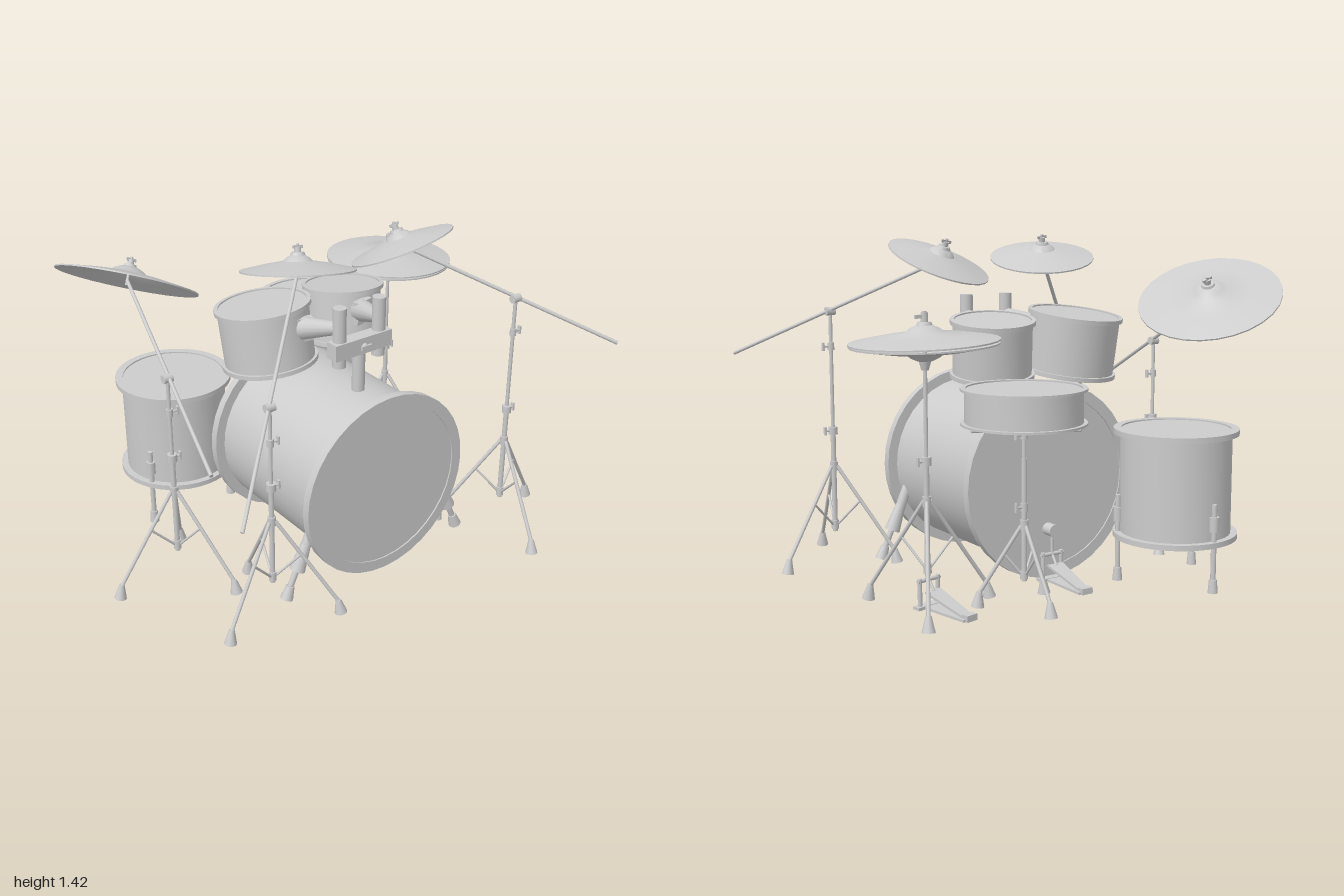
import * as THREE from 'three';
import { toCreasedNormals } from 'three/addons/utils/BufferGeometryUtils.js';

const V = (x, y, z) => new THREE.Vector3(x, y, z);
const UP = V(0, 1, 0);
const mat = new THREE.MeshStandardMaterial({ color: 0xcccccc });

function add(parent, name, geo, pos = V(0, 0, 0), dir = null) {
  const m = new THREE.Mesh(geo, mat);
  m.name = name;
  m.position.copy(pos);
  if (dir) m.quaternion.setFromUnitVectors(UP, dir.clone().normalize());
  parent.add(m);
  return m;
}

function group(parent, name) {
  const g = new THREE.Group();
  g.name = name;
  parent.add(g);
  return g;
}

// Round bar from a to b
function rod(parent, name, a, b, r, rEnd = r, seg = 10) {
  const d = b.clone().sub(a);
  return add(parent, name, new THREE.CylinderGeometry(rEnd, r, d.length(), seg), a.clone().lerp(b, 0.5), d);
}

function box(parent, name, w, h, d, x, y, z) {
  return add(parent, name, new THREE.BoxGeometry(w, h, d), V(x, y, z));
}

function lathe(pts, seg) {
  const g = new THREE.LatheGeometry(pts.map(p => new THREE.Vector2(p[0], p[1])), seg);
  return toCreasedNormals(g, 0.6);
}

// Shell, two hoops and slightly recessed heads, centred on the origin along y
function drum(parent, name, center, axis, rShell, rHoop, height, hoop) {
  const h = height / 2, rIn = rShell - 0.005, s = 0.006;
  const half = [[rShell, h - hoop], [rHoop, h - hoop], [rHoop, h], [rIn, h], [rIn, h - s], [0, h - s]];
  const pts = [...half.map(([r, y]) => [r, -y]).reverse(), ...half];
  return add(parent, name, lathe(pts, 36), center, axis);
}

// Domed disc with a bell, edge plane at the origin
function cymbalGeometry(R) {
  const top = [[R, 0], [0.6 * R, 0.02], [0.25 * R, 0.034], [0.2 * R, 0.046], [0.11 * R, 0.058], [0, 0.06]];
  const under = top.map(([r, y]) => [r, y - 0.006]).reverse();
  return lathe([...under, ...top], 28);
}

function cymbal(parent, R, pos, n) {
  const g = group(parent, 'cymbal');
  g.position.copy(pos);
  g.quaternion.setFromUnitVectors(UP, n.clone().normalize());
  add(g, 'cymbalDisc', cymbalGeometry(R));
  rod(g, 'cymbalStem', V(0, -0.02, 0), V(0, 0.1, 0), 0.006);
  rod(g, 'feltWasher', V(0, 0.056, 0), V(0, 0.068, 0), 0.03, 0.025, 14);
  rod(g, 'nut', V(0, 0.068, 0), V(0, 0.088, 0), 0.014);
  box(g, 'wingNut', 0.045, 0.012, 0.008, 0, 0.088, 0);
}

// Post with three braced legs on rubber feet; angles in degrees in the xz plane
function tripod(parent, x, z, top, angles, R = 0.275, hub = 0.42) {
  const g = group(parent, 'tripodStand');
  g.position.set(x, 0, z);
  const k = hub / 0.42;
  rod(g, 'lowerPost', V(0, 0.13 * k, 0), V(0, Math.min(0.58, top), 0), 0.011);
  rod(g, 'upperPost', V(0, 0.5 * k, 0), V(0, top, 0), 0.008);
  rod(g, 'legHub', V(0, hub - 0.02, 0), V(0, hub + 0.02, 0), 0.017);
  rod(g, 'braceHub', V(0, 0.14 * k, 0), V(0, 0.18 * k, 0), 0.016);
  for (const a of angles) {
    const c = Math.cos(a * Math.PI / 180), s = Math.sin(a * Math.PI / 180);
    const at = (t, y) => V(c * R * t, y, s * R * t);
    rod(g, 'leg', at(0.05, hub), at(0.96, 0.055), 0.008);
    rod(g, 'legBrace', at(0.04, 0.16 * k), at(0.42, 0.27 * k), 0.005);
    rod(g, 'rubberFoot', at(1, 0), at(0.96, 0.06), 0.026, 0.011, 12);
  }
  return g;
}

// Collar and side wing screw on a post
function clamp(g, y, r = 0.02) {
  rod(g, 'collar', V(0, y - 0.016, 0), V(0, y + 0.016, 0), r, r, 12);
  rod(g, 'clampScrew', V(0, y, 0), V(0.035, y, 0), 0.005);
  box(g, 'clampWing', 0.008, 0.035, 0.016, 0.036, y, 0);
}

// Stand with a slanted boom carrying a cymbal
function boomStand(parent, x, z, top, angles, tail, head, normal, R) {
  const g = group(parent, 'boomCymbalStand');
  const t = tripod(g, x, z, top, angles);
  clamp(t, 0.575);
  clamp(t, top - 0.15, 0.014);
  rod(g, 'boomJoint', V(x - 0.02, top, z), V(x + 0.02, top, z), 0.018);
  rod(g, 'boomArm', tail, head, 0.008);
  cymbal(g, R, head, normal);
}

// Foot pedal with its toe at the local origin and heel towards -z
function pedal(parent, name, x, z, turn) {
  const g = group(parent, name);
  g.position.set(x, 0, z);
  g.rotation.y = turn;
  const s = new THREE.Shape();
  s.moveTo(-0.022, -0.25);
  s.lineTo(0.022, -0.25);
  s.lineTo(0.038, -0.04);
  s.lineTo(-0.038, -0.04);
  const board = add(g, 'footboard', new THREE.ExtrudeGeometry(s, { depth: 0.01, bevelEnabled: false }), V(0, 0.085, 0));
  board.rotation.x = Math.PI / 2 - 0.28;
  box(g, 'basePlate', 0.07, 0.01, 0.24, 0, 0.006, -0.13);
  box(g, 'heelBlock', 0.05, 0.025, 0.03, 0, 0.013, -0.245);
  box(g, 'frontFoot', 0.13, 0.012, 0.035, 0, 0.007, -0.015);
  for (const i of [-1, 1]) rod(g, 'pedalUpright', V(i * 0.045, 0, -0.015), V(i * 0.045, 0.12, -0.015), 0.009);
  rod(g, 'pedalAxle', V(-0.055, 0.11, -0.015), V(0.055, 0.11, -0.015), 0.008);
  rod(g, 'pullLink', V(0, 0.11, -0.015), V(0, 0.07, -0.045), 0.006);
  return g;
}

export function createModel() {
  const kit = new THREE.Group();
  kit.name = 'drumKit';

  // Bass drum with spurs and pedal
  const bass = group(kit, 'bassDrum');
  drum(bass, 'bassShell', V(0.03, 0.407, 0.115), V(0, 0, 1), 0.362, 0.405, 0.71, 0.036);
  for (const s of [-1, 1]) {
    const p = (o, y, z = 0.4) => V(0.03 + s * o, y, z);
    rod(bass, 'spurBracket', p(0.33, 0.31), p(0.375, 0.2), 0.022, 0.022, 12);
    rod(bass, 'spurSleeve', p(0.365, 0.23), p(0.41, 0.12), 0.022, 0.034, 12);
    rod(bass, 'spurRod', p(0.4, 0.15), p(0.455, 0.03), 0.013);
    rod(bass, 'spurFoot', p(0.465, 0), p(0.445, 0.055), 0.028, 0.018, 12);
  }
  const kick = pedal(kit, 'bassPedal', 0.05, -0.255, 0);
  rod(kick, 'beaterRod', V(0, 0.11, -0.015), V(0, 0.215, -0.012), 0.006);
  rod(kick, 'beater', V(0, 0.21, -0.035), V(0, 0.21, 0.018), 0.026, 0.026, 14);

  // Two tilted rack toms on a shared mount
  const mount = group(kit, 'tomMount');
  rod(mount, 'mountPost', V(0.03, 0.74, 0.265), V(0.03, 0.96, 0.265), 0.027, 0.027, 16);
  box(mount, 'mountBar', 0.285, 0.07, 0.06, 0.03, 0.977, 0.27);
  rod(mount, 'mountScrew', V(0.03, 0.975, 0.28), V(0.03, 0.975, 0.315), 0.014);
  box(mount, 'mountWing', 0.05, 0.02, 0.01, 0.03, 0.975, 0.315);
  const toms = [
    { s: -1, x: -0.188, y: 0.957, r: 0.19, hoop: 0.202, h: 0.26 },
    { s: 1, x: 0.213, y: 0.957, r: 0.163, hoop: 0.175, h: 0.24 },
  ];
  for (const t of toms) {
    drum(kit, 'rackTom', V(t.x, t.y, -0.075), V(t.s * 0.06, 1, -0.13), t.r, t.hoop, t.h, 0.018);
    const tx = 0.03 + t.s * 0.1;
    rod(mount, 'mountTube', V(tx, 0.9, 0.265), V(tx, 1.155, 0.265), 0.028, 0.028, 16);
    rod(mount, 'tomArm', V(tx, 1.065, 0.255), V(tx + t.s * 0.05, 1.02, 0.09), 0.026, 0.048, 14);
    box(mount, 'tomBracket', 0.09, 0.1, 0.03, tx + t.s * 0.055, 1.015, 0.09).rotation.y = t.s * 0.2;
  }

  // Floor tom on three legs
  const floor = group(kit, 'floorTom');
  floor.position.set(-0.378, 0, -0.54);
  drum(floor, 'floorTomShell', V(0, 0.412, 0), UP, 0.228, 0.256, 0.45, 0.022);
  for (const a of [30, 150, 270]) {
    const c = Math.cos(a * Math.PI / 180), s = Math.sin(a * Math.PI / 180);
    const at = (r, y) => V(c * r, y, s * r);
    rod(floor, 'floorTomLeg', at(0.236, 0.03), at(0.236, 0.36), 0.011);
    rod(floor, 'legBracket', at(0.236, 0.25), at(0.236, 0.31), 0.02);
    rod(floor, 'legFoot', at(0.236, 0), at(0.236, 0.055), 0.021, 0.016, 12);
  }

  // Snare on a small tripod with basket arms
  const snare = group(kit, 'snare');
  drum(snare, 'snareShell', V(0.335, 0.781, -0.487), UP, 0.226, 0.242, 0.14, 0.009);
  const stand = tripod(snare, 0.335, -0.487, 0.7, [30, 150, 270], 0.18, 0.32);
  clamp(stand, 0.39, 0.015);
  clamp(stand, 0.67, 0.015);
  for (const a of [0, 2.094, 4.189]) {
    rod(stand, 'basketArm', V(0, 0.69, 0), V(Math.cos(a) * 0.235, 0.705, Math.sin(a) * 0.235), 0.006);
  }

  // Hi-hat pair, stand and pedal
  const hat = group(kit, 'hiHat');
  const post = tripod(hat, 0.66, -0.31, 1.14, [61, 181, 299]);
  clamp(post, 0.575);
  const upper = add(post, 'upperHat', cymbalGeometry(0.285), V(0, 1.03, 0), V(0.04, 1, 0));
  upper.castShadow = false;
  add(post, 'lowerHat', cymbalGeometry(0.283), V(0, 1.013, 0), V(-0.03, -1, 0));
  rod(post, 'hatSeat', V(0, 0.92, 0), V(0, 0.955, 0), 0.014, 0.024, 14);
  rod(post, 'hatFelt', V(0, 1.085, 0), V(0, 1.1, 0), 0.032, 0.026, 14);
  rod(post, 'hatClutch', V(0, 1.1, 0), V(0, 1.135, 0), 0.014);
  box(post, 'clutchWing', 0.05, 0.014, 0.01, 0.015, 1.12, 0);
  pedal(hat, 'hiHatPedal', 0.65, -0.28, 0.2);

  // Crash and ride cymbals on boom stands
  boomStand(kit, -0.705, 0, 0.93, [62, 182, 302], V(-0.79, 0.735, 0.44), V(-0.6, 1.155, -0.48), V(0.436, 0.856, -0.28), 0.3);
  boomStand(kit, -0.513, 0.417, 0.92, [42, 162, 282], V(-0.79, 0.595, 0.637), V(-0.2, 1.315, 0.168), V(0.15, 0.96, -0.23), 0.227);
  boomStand(kit, 0.665, 0.5, 1.09, [-18, 102, 222], V(0.99, 0.905, 0.785), V(0.315, 1.305, 0.176), V(-0.18, 0.91, -0.37), 0.221);

  return kit;
}
